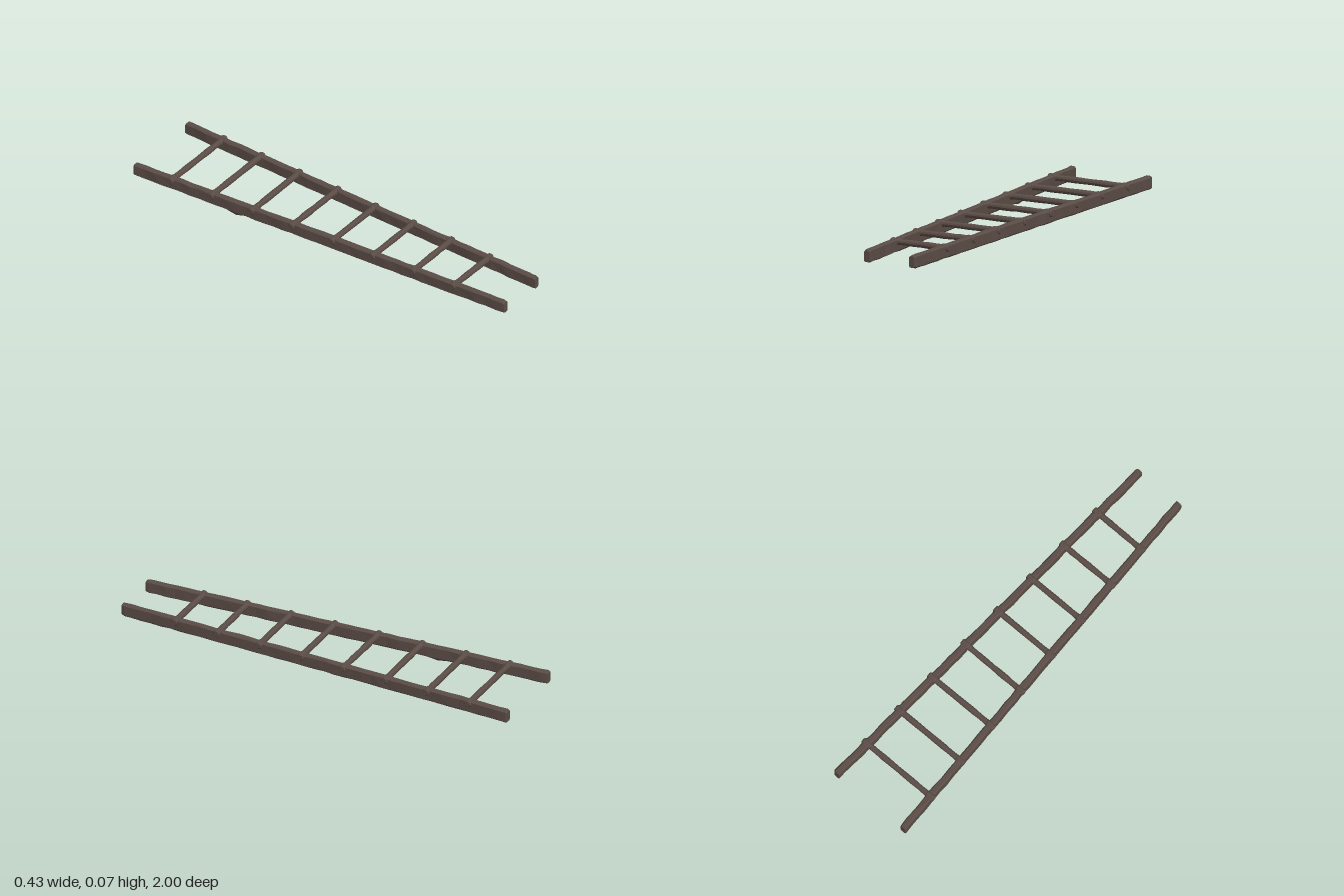
import * as THREE from 'three';

const wood = new THREE.MeshStandardMaterial({ color: 0x5b4c46, flatShading: true });
wood.name = 'dark wood';

// Small seeded noise for the hand-hewn surface
function makeNoise(seed) {
  let s = seed;
  return (amount) => {
    s = (s * 16807) % 2147483647;
    return (s / 2147483647 - 0.5) * 2 * amount;
  };
}

// Rail centre line, x as a function of z (side -1 right, +1 left)
const railX = (side, z) => {
  const t = (z + 1) / 2;
  return side < 0 ? -0.203 + t * 0.098 : 0.195 - t * 0.064;
};

// Rail: chamfered rectangular cross-sections swept along z
function makeRail(side, seed) {
  const noise = makeNoise(seed);
  const w = 0.0155, h = 0.03, c = 0.006, sections = 40;
  const ring = [
    [w, -h + c], [w, h - c], [w - c, h], [-w + c, h],
    [-w, h - c], [-w, -h + c], [-w + c, -h], [w - c, -h],
  ];
  const n = ring.length;
  const zs = [-1, -0.994];
  for (let i = 1; i < sections; i++) zs.push(-1 + (2 * i) / sections);
  zs.push(0.985, 1);

  const pos = [], index = [];
  zs.forEach((z, i) => {
    const end = i === 0 || i === zs.length - 1;
    const k = end ? 0.88 : 1;
    const dx = noise(0.0018);
    for (const [x, y] of ring) {
      const rough = end ? 0 : 0.0012;
      pos.push(railX(side, z) + dx + x * k + noise(rough), 0.047 + y * k + noise(rough), z);
    }
  });
  // One splintered low spot under the right rail
  if (side < 0) {
    const i = zs.findIndex((z) => z > -0.46);
    pos[(i * n + 6) * 3 + 1] = 0.006;
    pos[(i * n + 7) * 3 + 1] = 0.009;
  }
  const last = zs.length - 1;
  for (let i = 0; i < last; i++) {
    for (let j = 0; j < n; j++) {
      const a = i * n + j, b = i * n + ((j + 1) % n);
      index.push(a, b, b + n, a, b + n, a + n);
    }
  }
  for (let j = 1; j < n - 1; j++) {
    index.push(0, j + 1, j);
    index.push(last * n, last * n + j, last * n + j + 1);
  }
  const g = new THREE.BufferGeometry();
  g.setAttribute('position', new THREE.Float32BufferAttribute(pos, 3));
  g.setIndex(index);
  g.computeVertexNormals();
  const mesh = new THREE.Mesh(g, wood);
  mesh.name = side < 0 ? 'rightRail' : 'leftRail';
  return mesh;
}

// Rung: round bar, thicker where it passes through the rails
function makeRung(z, seed) {
  const noise = makeNoise(seed);
  const a = railX(-1, z) - 0.023, b = railX(1, z) + 0.023;
  const half = (b - a) / 2;
  const knob = 0.0175, bar = 0.0145;
  const profile = [[0, -half], [knob * 0.75, -half], [knob, -half + 0.005], [knob, -half + 0.036], [bar, -half + 0.044]];
  for (let i = 1; i < 8; i++) {
    profile.push([bar + noise(0.0012), (-1 + i / 4) * (half - 0.044)]);
  }
  profile.push([bar, half - 0.044], [knob, half - 0.036], [knob, half - 0.005], [knob * 0.75, half], [0, half]);
  const g = new THREE.LatheGeometry(profile.map(([x, y]) => new THREE.Vector2(x, y)), 10);
  g.rotateZ(-Math.PI / 2);
  const mesh = new THREE.Mesh(g, wood);
  mesh.position.set((a + b) / 2, 0.063, z);
  mesh.rotation.y = noise(0.008);
  return mesh;
}

export function createModel() {
  const ladder = new THREE.Group();
  ladder.name = 'ladder';
  ladder.add(makeRail(-1, 17), makeRail(1, 91));
  for (let i = 0; i < 8; i++) {
    const rung = makeRung(-0.8 + i * 0.2175, 301 + i * 77);
    rung.name = `rung${i + 1}`;
    ladder.add(rung);
  }
  return ladder;
}
